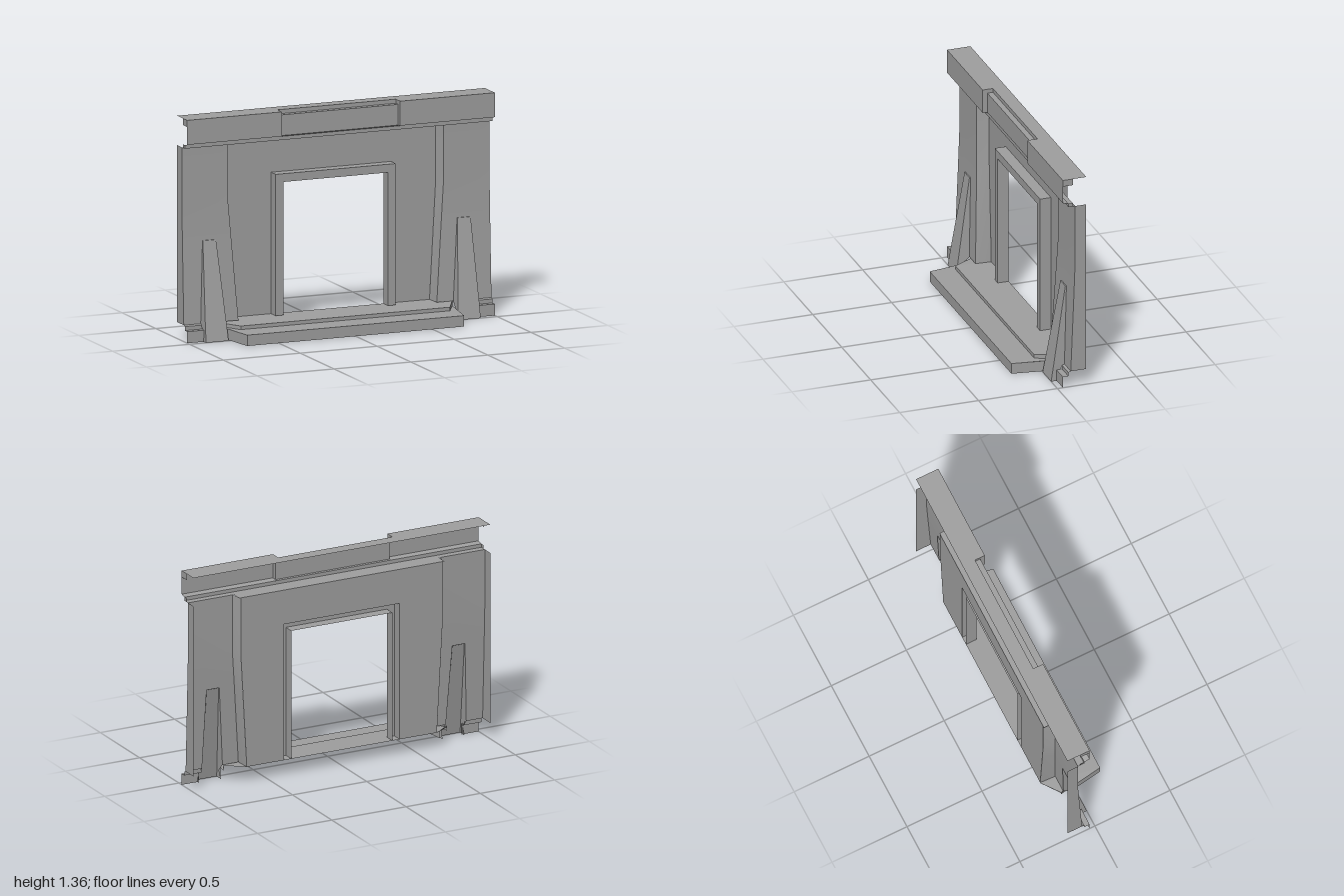
import * as THREE from 'three';

const material = new THREE.MeshStandardMaterial({
  color: 0x9f9f9f, flatShading: true, side: THREE.DoubleSide,
});
const smoothMaterial = new THREE.MeshStandardMaterial({ color: 0x9f9f9f, side: THREE.DoubleSide });

// Open surface stretched between rows of [x, y, z] points.
function loft(name, rows, smooth = false) {
  const n = rows[0].length;
  const index = [];
  for (let r = 0; r < rows.length - 1; r++) {
    for (let i = 0; i < n - 1; i++) {
      const a = r * n + i, b = a + 1, c = a + n, d = c + 1;
      index.push(a, b, d, a, d, c);
    }
  }
  const indexed = new THREE.BufferGeometry();
  indexed.setAttribute('position', new THREE.Float32BufferAttribute(rows.flat(2), 3));
  indexed.setIndex(index);
  const geometry = smooth ? indexed : indexed.toNonIndexed();
  geometry.computeVertexNormals();
  const mesh = new THREE.Mesh(geometry, smooth ? smoothMaterial : material);
  mesh.name = name;
  return mesh;
}

// Runs a [z, y] profile along x.
const run = (name, x0, x1, profile) =>
  loft(name, profile.map(([z, y]) => [[x0, y, z], [x1, y, z]]));

// The same points mirrored in x when s = -1; reversing keeps the facing.
function side(name, s, rows, smooth) {
  return loft(name, rows.map((row) => {
    const pts = row.map(([x, y, z]) => [x * s, y, z]);
    return s < 0 ? pts.reverse() : pts;
  }), smooth);
}

const BACK = -0.183, BASE = 0.1, TOP = 1.176;

export function createModel() {
  const model = new THREE.Group();

  // Recessed centre wall, cut out around the doorway
  const wall = new THREE.Shape([
    [-0.64, BASE], [-0.39, BASE], [-0.39, 0.96], [0.39, 0.96], [0.39, BASE], [0.64, BASE],
    [0.68, 0.82], [0.68, TOP], [-0.68, TOP], [-0.68, 0.82],
  ].map(([x, y]) => new THREE.Vector2(x, y)));
  const centreWall = new THREE.Mesh(new THREE.ShapeGeometry(wall), material);
  centreWall.name = 'centreWall';
  centreWall.position.z = BACK;
  model.add(centreWall);

  // Hollow door surround: outer side, front face, inner reveal
  const surround = [[0.39, 0.96, BACK], [0.39, 0.96, -0.114], [0.34, 0.91, -0.114], [0.34, 0.91, BACK]];
  model.add(loft('doorSurround', surround.map(([w, h, z]) =>
    [[-w, BASE, z], [-w, h, z], [w, h, z], [w, BASE, z]])));

  // Two splayed steps and the threshold, open underneath
  const steps = [
    [0, 0.74, -0.035, 0.705, 0.183],
    [0.066, 0.74, -0.035, 0.705, 0.183],
    [0.068, 0.752, -0.1, 0.68, 0.03],
    [0.09, 0.752, -0.1, 0.68, 0.03],
    [BASE, 0.752, -0.1, 0.645, BACK],
  ];
  model.add(loft('steps', steps.map(([y, wBack, zBack, wFront, zFront]) =>
    [[-wBack, y, zBack], [-wFront, y, zFront], [wFront, y, zFront], [wBack, y, zBack]])));

  for (const s of [1, -1]) {
    const group = new THREE.Group();
    group.name = s > 0 ? 'leftSide' : 'rightSide';

    // Side panel: leans forward towards the foot, open behind the buttress
    const panelZ = [[BASE, -0.085], [0.6, -0.105], [0.82, -0.113], [TOP, -0.113]];
    const inner = [0.645, 0.683, 0.7, 0.7];
    group.add(side('upperPanel', s, [1, 2, 3].map((i) =>
      [[inner[i], ...panelZ[i]], [1, ...panelZ[i]]]), true));
    group.add(side('innerPanel', s, [0, 1].map((i) =>
      [[inner[i], ...panelZ[i]], [[0.752, 0.785][i], ...panelZ[i]]]), true));
    group.add(side('outerPanel', s, [0, 1].map((i) =>
      [[[0.89, 0.87][i], ...panelZ[i]], [1, ...panelZ[i]]]), true));
    group.add(side('endReturn', s, panelZ.map(([y, z]) => [[1, y, z], [1, y, BACK]])));

    // Jamb between side panel and centre wall
    const jamb = [0.64, 0.668, 0.68, 0.68];
    group.add(side('wallJamb', s, panelZ.map(([y, z], i) =>
      [[jamb[i], y, BACK], [inner[i], y, z]]), true));

    // Tapered buttress: inner cheek, front face, outer cheek
    const buttress = [
      [0, 0.746, 0.893, 0, -0.055],
      [0.05, 0.749, 0.891, -0.008, -0.035],
      [BASE, 0.752, 0.89, -0.016, -0.085],
      [0.6, 0.785, 0.87, -0.098, -0.107],
    ];
    group.add(side('buttress', s, buttress.map(([y, x0, x1, zFront, zBack]) =>
      [[x0, y, zBack], [x0, y, zFront], [x1, y, zFront], [x1, y, zBack]])));
    group.add(side('buttressCap', s, [
      [[0.785, 0.6, -0.098], [0.87, 0.6, -0.098]], [[0.785, 0.6, -0.107], [0.87, 0.6, -0.107]],
    ]));

    // Stepped skirting outside the buttress
    const skirting = [[-0.035, 0], [-0.035, 0.07], [-0.07, 0.07], [-0.07, 0.094], [-0.085, BASE]];
    group.add(side('skirting', s, skirting.map(([z, y]) => [[0.885, y, z], [1, y, z]])));

    // Outer fascia with its underside and top plate
    const fascia = [[-0.07, 1.198], [-0.065, 1.2], [-0.035, 1.206], [-0.035, 1.355], [BACK, 1.355]];
    group.add(side('fascia', s, fascia.map(([z, y]) => [[0.385, y, z], [1, y, z]])));

    // Cheek of the fascia recess, and small end caps
    group.add(side('recessCheek', s, [
      [[0.385, 1.204, -0.035], [0.385, 1.204, -0.065]],
      [[0.385, 1.33, -0.035], [0.385, 1.33, -0.065]],
    ]));
    group.add(side('recessCheekTop', s, [
      [[0.385, 1.33, -0.035], [0.385, 1.33, -0.1]],
      [[0.385, 1.355, -0.035], [0.385, 1.355, -0.1]],
    ]));
    group.add(side('fasciaEndCap', s, [
      [[1, 1.315, -0.035], [1, 1.315, -0.1]], [[1, 1.355, -0.035], [1, 1.355, -0.1]],
    ]));
    group.add(side('corniceEndCap', s, [
      [[1, TOP, -0.07], [1, TOP, -0.098]], [[1, 1.198, -0.07], [1, 1.198, -0.098]],
    ]));
    model.add(group);
  }

  // Recessed centre of the fascia with a ledge below the top plate
  model.add(run('fasciaRecess', -0.385, 0.385,
    [[-0.07, 1.198], [-0.065, 1.204], [-0.065, 1.33], [-0.1, 1.33], [-0.1, 1.355], [BACK, 1.355]]));

  // Cornice moulding under the fascia and the soffit over the recessed wall
  model.add(run('cornice', -1, 1, [[-0.113, TOP], [-0.07, TOP], [-0.07, 1.198]]));
  model.add(run('soffit', -0.69, 0.69, [[BACK, TOP], [-0.113, TOP]]));

  return model;
}
